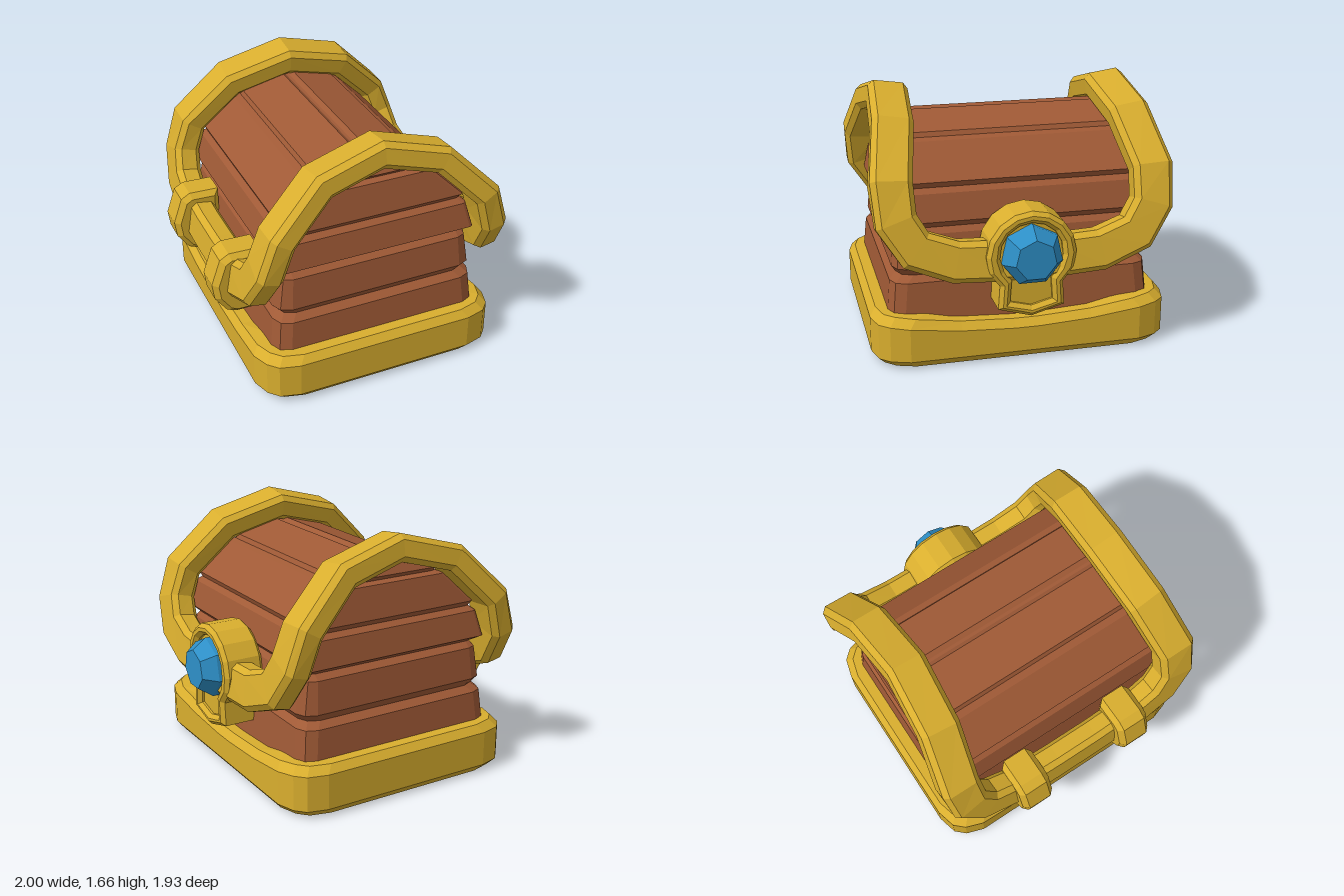
import * as THREE from 'three';

const material = (name, color) => {
  const m = new THREE.MeshStandardMaterial({ color });
  m.name = name;
  return m;
};

const flat = (geo) => {
  const g = geo.index ? geo.toNonIndexed() : geo;
  g.computeVertexNormals();
  return g;
};

// Joins rings of points into a faceted skin; loops back to the start or gets end caps.
function skin(rings, loop) {
  const pos = [];
  const tri = (...pts) => pts.forEach((p) => pos.push(p.x, p.y, p.z));
  const n = rings[0].length;
  const spans = loop ? rings.length : rings.length - 1;
  for (let i = 0; i < spans; i++) {
    const a = rings[i], b = rings[(i + 1) % rings.length];
    for (let j = 0; j < n; j++) {
      const k = (j + 1) % n;
      tri(a[j], a[k], b[k]);
      tri(a[j], b[k], b[j]);
    }
  }
  if (!loop) {
    const first = rings[0], last = rings[rings.length - 1];
    for (let j = 1; j < n - 1; j++) {
      tri(first[0], first[j + 1], first[j]);
      tri(last[0], last[j], last[j + 1]);
    }
  }
  const g = new THREE.BufferGeometry();
  g.setAttribute('position', new THREE.Float32BufferAttribute(pos, 3));
  return flat(g);
}

// Mirrors a quadrant of [x, y, z] points into a full horizontal ring.
function ring(quadrant) {
  const part = (sx, sz) => quadrant.map(([x, y, z]) => new THREE.Vector3(x * sx, y, z * sz));
  return [...part(1, -1), ...part(-1, -1).reverse(), ...part(-1, 1), ...part(1, 1).reverse()];
}

// Base with rounded corners and a dipped top edge on the long sides
function baseGeometry() {
  const rows = [
    [0, 0.785, 0.925, 0], [0.05, 0.825, 0.965, 0], [0.28, 0.825, 0.965, 1],
    [0.33, 0.785, 0.925, 1], [0.33, 0.69, 0.83, 1],
  ];
  return skin(rows.map(([y, hx, hz, dip]) => ring([
    [hx, y - 0.068 * dip, 0.08],
    [hx, y - 0.05 * dip, 0.42],
    [hx, y - 0.01 * dip, hz - 0.22],
    [hx - 0.04, y, hz - 0.1],
    [hx - 0.1, y, hz - 0.035],
    [hx - 0.23, y, hz],
  ])));
}

// Planked box and lid: each row is [y, half width, half length, corner cut]
function planksGeometry() {
  const rows = [
    [0.2, 0.72, 0.865, 0.1], [0.52, 0.69, 0.835, 0.1], [0.56, 0.65, 0.79, 0.1],
    [0.61, 0.685, 0.82, 0.1], [0.82, 0.65, 0.8, 0.08], [0.855, 0.62, 0.76, 0.05],
    [0.9, 0.665, 0.83, 0.03], [1.07, 0.62, 0.8, 0.03], [1.1, 0.585, 0.765, 0.03],
    [1.135, 0.6, 0.79, 0.03], [1.34, 0.39, 0.75, 0.03], [1.355, 0.345, 0.71, 0.03],
    [1.385, 0.33, 0.74, 0.03], [1.465, 0.04, 0.7, 0.01], [1.445, 0.01, 0.69, 0.003],
  ];
  return skin(rows.map(([y, hx, hz, c]) => ring([
    [hx, y, hz - c], [hx - c * 0.3, y, hz - c * 0.3], [hx - c, y, hz],
  ])));
}

// Closed trim band: two leaning arches joined along the sides
function trimGeometry() {
  // Quarter path: centre point, then outward direction
  const quarter = [
    [[0.805, 0.68, 0.15], [0.98, 0.15, 0]],
    [[0.803, 0.695, 0.46], [0.98, 0.17, 0]],
    [[0.785, 0.785, 0.70], [0.98, 0.2, 0]],
    [[0.755, 0.96, 0.81], [0.97, 0.24, 0]],
    [[0.685, 1.17, 0.825], [0.87, 0.48, -0.03]],
    [[0.4, 1.45, 0.765], [0.47, 0.88, -0.1]],
    [[0, 1.56, 0.735], [0, 1, -0.14]],
  ];
  const flip = (sx, sz) => quarter.map((s) => s.map(([x, y, z]) => new THREE.Vector3(x * sx, y, z * sz)));
  const path = [
    ...flip(1, 1), ...flip(-1, 1).reverse().slice(1),
    ...flip(-1, -1), ...flip(1, -1).reverse().slice(1),
  ];
  const t = 0.085, w = 0.13, b = 0.035;
  const section = [
    [t, b - w], [t, w - b], [t - b, w], [b - t, w],
    [-t, w - b], [-t, b - w], [b - t, -w], [t - b, -w],
  ];
  const count = path.length;
  const rings = path.map(([p, out], i) => {
    const before = p.clone().sub(path[(i + count - 1) % count][0]).normalize();
    const after = path[(i + 1) % count][0].clone().sub(p).normalize();
    const along = before.clone().add(after).normalize();
    const miter = 1 / along.dot(after);
    const side = along.clone().cross(out).normalize();
    const normal = side.clone().cross(along);
    return section.map(([u, v]) => p.clone().addScaledVector(normal, u * miter).addScaledVector(side, v));
  });
  return skin(rings, true);
}

// Keyhole outline: round top over a pointed foot
function keyhole(Type, r, cy, neckX, neckY, footX, footY, tipY) {
  const pts = [[0, tipY], [footX, footY], [neckX, neckY]];
  const start = Math.atan2(neckY - cy, neckX);
  for (let i = 1; i < 12; i++) {
    const a = start + (i / 12) * (Math.PI - 2 * start);
    pts.push([r * Math.cos(a), cy + r * Math.sin(a)]);
  }
  pts.push([-neckX, neckY], [-footX, footY]);
  return new Type(pts.map(([x, y]) => new THREE.Vector2(x, y)));
}

const extrude = (shape, depth, bevel) => new THREE.ExtrudeGeometry(shape, {
  depth: depth - 2 * bevel, bevelEnabled: bevel > 0, bevelThickness: bevel,
  bevelSize: bevel, bevelOffset: -bevel, bevelSegments: 1,
}).translate(0, 0, bevel);

export function createModel() {
  const gold = material('gold', 0xd9ae2e);
  const wood = material('wood', 0xa05a36);
  const blue = material('blue gem', 0x2e90c8);
  const model = new THREE.Group();
  model.name = 'chest';
  const add = (name, geo, mat, x = 0, y = 0, z = 0) => {
    const mesh = new THREE.Mesh(geo, mat);
    mesh.name = name;
    mesh.position.set(x, y, z);
    model.add(mesh);
  };

  add('base', baseGeometry(), gold, -0.015);
  add('planks', planksGeometry(), wood, -0.015);
  add('trim', trimGeometry(), gold, -0.01);

  // Clasp: rimmed keyhole plate with a recessed panel
  const outline = keyhole(THREE.Shape, 0.285, 0.725, 0.2, 0.54, 0.21, 0.385, 0.325);
  outline.holes.push(keyhole(THREE.Path, 0.2, 0.735, 0.125, 0.57, 0.135, 0.43, 0.395));
  add('claspRim', flat(extrude(outline, 0.27, 0.025).rotateY(Math.PI / 2)), gold, 0.64);
  const panel = keyhole(THREE.Shape, 0.22, 0.73, 0.15, 0.56, 0.16, 0.41, 0.37);
  add('claspPanel', flat(extrude(panel, 0.2, 0).rotateY(Math.PI / 2)), gold, 0.67);

  // Seven-sided gem
  const gemProfile = [[0.195, 0], [0.195, 0.05], [0.13, 0.14], [0, 0.14]].map(([x, y]) => new THREE.Vector2(x, y));
  const gem = new THREE.LatheGeometry(gemProfile, 7).rotateY(-Math.PI / 2).rotateZ(-Math.PI / 2);
  add('gem', flat(gem), blue, 0.86, 0.73, 0);

  // Two hinge straps wrapped over the trim
  const strap = new THREE.Shape([
    [-0.68, 0.44], [-0.68, 0.88], [-0.88, 0.885], [-0.94, 0.85],
    [-1, 0.68], [-0.985, 0.57], [-0.91, 0.465], [-0.85, 0.44],
  ].map(([x, y]) => new THREE.Vector2(x, y)));
  for (const z of [-0.39, 0.39]) {
    add('hingeStrap', flat(extrude(strap, 0.23, 0.035)), gold, 0, 0, z - 0.115);
  }
  return model;
}
